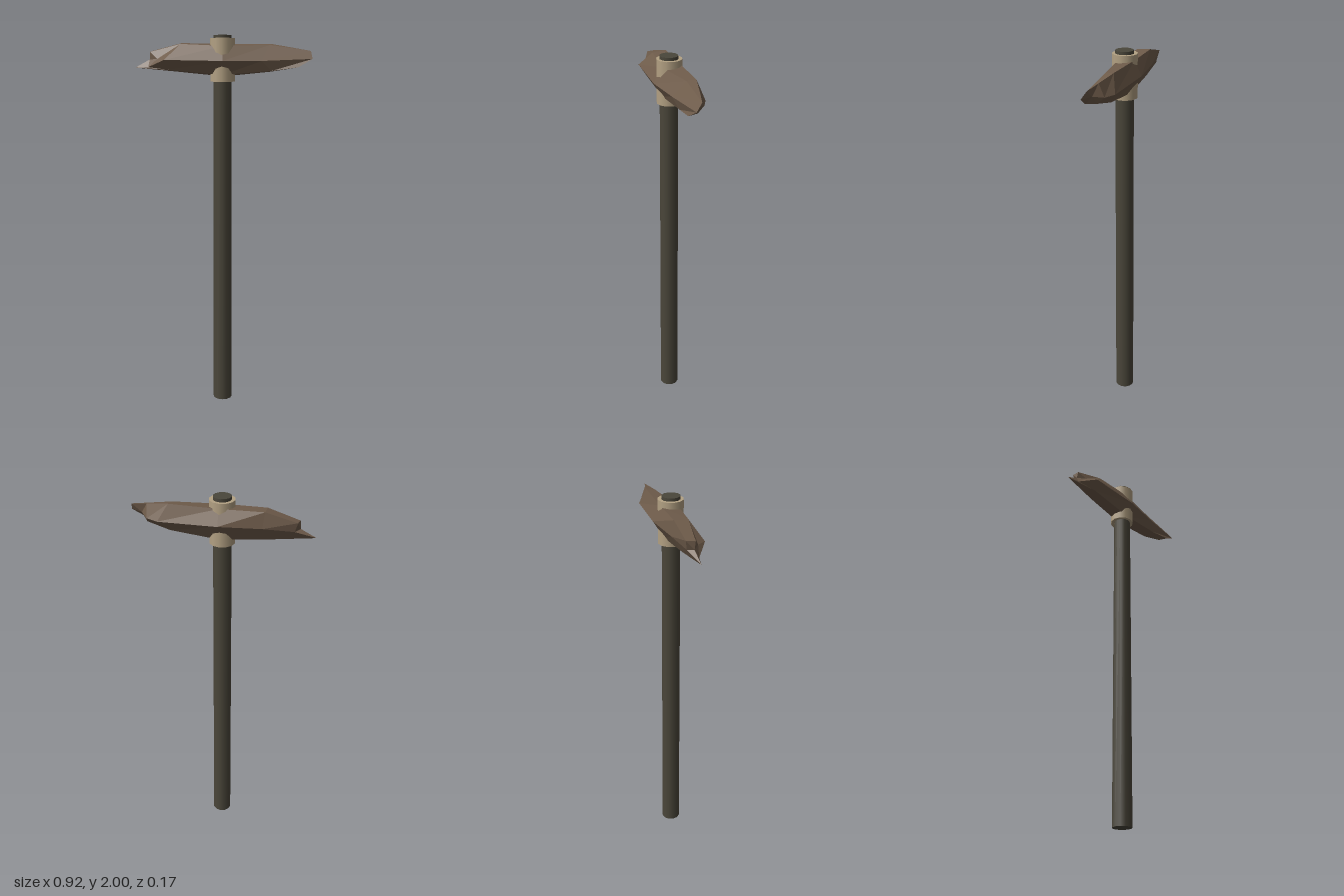
import * as THREE from 'three';

const mat = (name, color, extra = {}) => {
  const m = new THREE.MeshStandardMaterial({ color, ...extra });
  m.name = name;
  return m;
};

// Faceted head: six-sided rings [x, y, z], each running
// top back, top front, front, bottom front, bottom back, back.
const RINGS = [
  [[-0.375, 1.92, -0.045], [-0.38, 1.915, 0], [-0.34, 1.88, 0.025], [-0.39, 1.838, 0.014], [-0.46, 1.835, 0], [-0.36, 1.87, -0.035]],
  [[-0.22, 1.96, -0.05], [-0.22, 1.955, 0.02], [-0.3, 1.875, 0.072], [-0.28, 1.825, 0.04], [-0.25, 1.815, -0.02], [-0.21, 1.88, -0.06]],
  [[0, 1.955, -0.05], [0, 1.945, 0.04], [0, 1.87, 0.083], [0, 1.8, 0.04], [0, 1.79, -0.03], [0, 1.88, -0.086]],
  [[0.25, 1.955, -0.045], [0.24, 1.95, 0], [0.2, 1.87, 0.058], [0.25, 1.82, 0.035], [0.25, 1.815, -0.03], [0.3, 1.87, -0.072]],
  [[0.365, 1.935, -0.02], [0.45, 1.92, 0], [0.458, 1.88, 0.028], [0.385, 1.838, 0.04], [0.37, 1.84, -0.01], [0.36, 1.87, -0.045]],
];

function headGeometry() {
  const n = RINGS[0].length;
  const verts = RINGS.flat();
  const index = [];
  for (let i = 0; i < RINGS.length - 1; i++) {
    for (let j = 0; j < n; j++) {
      const a = i * n + j, b = i * n + (j + 1) % n;
      index.push(a, b, a + n, b, b + n, a + n);
    }
  }
  // Close each broken end with a fan around its middle
  for (const end of [0, RINGS.length - 1]) {
    const mid = [0, 1, 2].map(k => RINGS[end].reduce((s, p) => s + p[k], 0) / n);
    const c = verts.push(mid) - 1;
    for (let j = 0; j < n; j++) {
      const a = end * n + j, b = end * n + (j + 1) % n;
      index.push(c, ...(end ? [a, b] : [b, a]));
    }
  }
  const g = new THREE.BufferGeometry();
  g.setAttribute('position', new THREE.Float32BufferAttribute(verts.flat(), 3));
  g.setIndex(index);
  const flat = g.toNonIndexed();
  flat.computeVertexNormals();
  return flat;
}

export function createModel() {
  const group = new THREE.Group();
  const add = (name, geometry, material, x = 0, y = 0, z = 0) => {
    const mesh = new THREE.Mesh(geometry, material);
    mesh.name = name;
    mesh.position.set(x, y, z);
    group.add(mesh);
  };
  const wood = mat('dark wood', 0x4a463a);
  const binding = mat('pale binding', 0xb3a183);
  const stone = mat('brown stone', 0x6f5c4b, { flatShading: true });

  // Long, slightly tapered handle
  add('handle', new THREE.CylinderGeometry(0.046, 0.051, 2, 12), wood, -0.004, 1, 0.004);

  // Hollow binding sleeve: inner wall, flat rims and outer wall as separate smooth bands
  const profile = [[0.046, 1.985], [0.046, 1.765], [0.064, 1.765], [0.064, 1.985], [0.046, 1.985]];
  for (let i = 0; i < profile.length - 1; i++) {
    const pts = [profile[i], profile[i + 1]].map(p => new THREE.Vector2(...p));
    add('bindingSleeve' + (i + 1), new THREE.LatheGeometry(pts, 12), binding, -0.004, 0, 0.002);
  }

  // Rough chipped head
  add('head', headGeometry(), stone);
  return group;
}
